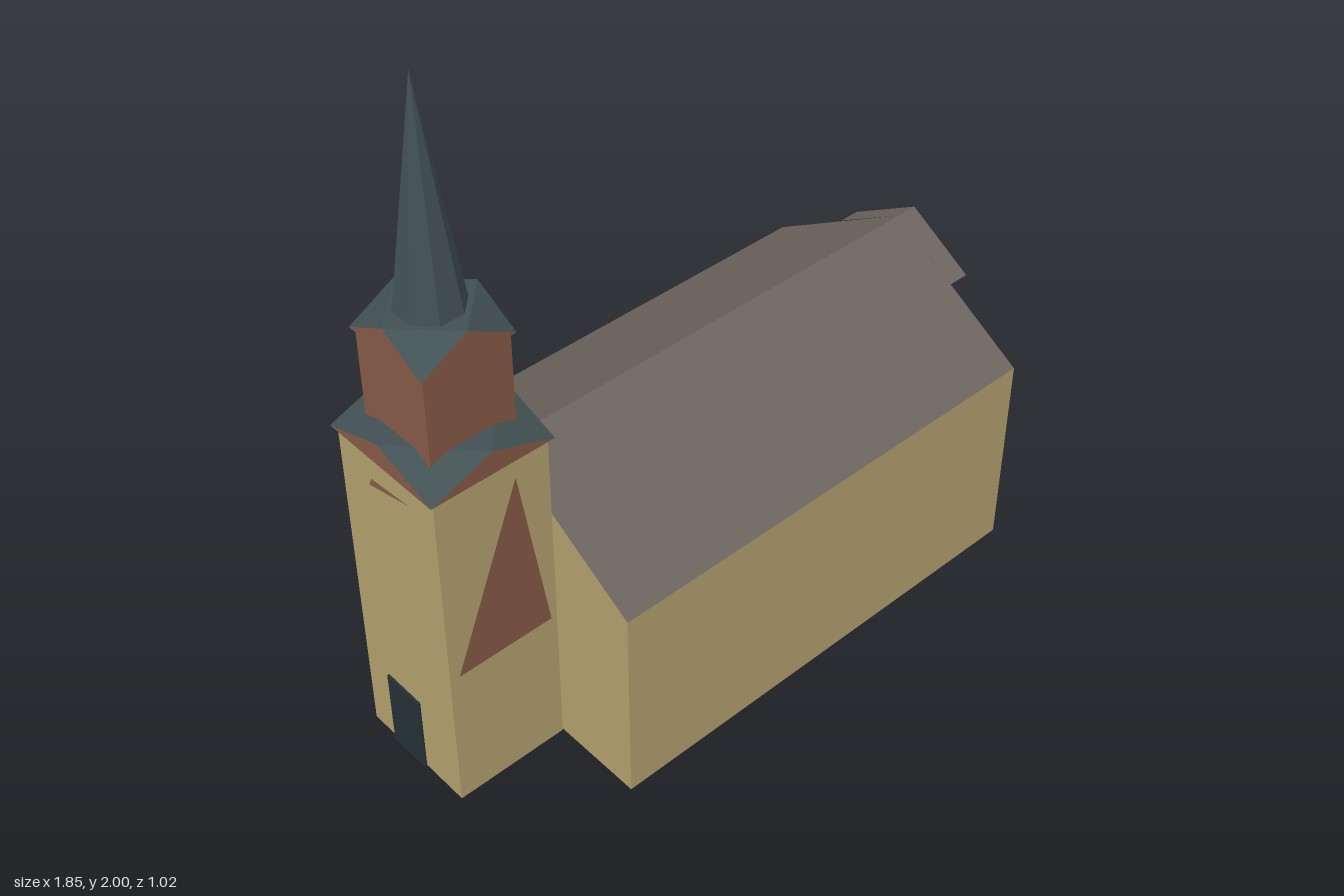
import * as THREE from 'three';

const mat = (name, color) => Object.assign(new THREE.MeshStandardMaterial({ color }), { name });

// Flat-shaded mesh from polygons (fans), corners counter-clockwise seen from outside
function faces(name, material, polygons) {
  const pos = [];
  for (const p of polygons)
    for (let i = 1; i < p.length - 1; i++) pos.push(...p[0], ...p[i], ...p[i + 1]);
  const g = new THREE.BufferGeometry();
  g.setAttribute('position', new THREE.Float32BufferAttribute(pos, 3));
  g.computeVertexNormals();
  const m = new THREE.Mesh(g, material);
  m.name = name;
  return m;
}

function box(name, material, w, h, d, x, y, z) {
  const m = new THREE.Mesh(new THREE.BoxGeometry(w, h, d), material);
  m.position.set(x, y, z);
  m.name = name;
  return m;
}

// Broached roof: a brick gable on each side, slate triangles leaning in at the corners
function broachRoof(name, a, b, y0, y1, roofMat, gableMat) {
  const c = [[-a, y0, b], [a, y0, b], [a, y0, -b], [-a, y0, -b]];
  const peaks = [[0, y1, b], [a, y1, 0], [0, y1, -b], [-a, y1, 0]];
  const slopes = [peaks], gables = [[...c].reverse()];
  c.forEach((p, i) => {
    const next = (i + 1) % 4;
    gables.push([p, c[next], peaks[i]]);
    slopes.push([peaks[i], c[next], peaks[next]]);
  });
  const g = new THREE.Group();
  g.name = name;
  g.add(faces(name + 'Slopes', roofMat, slopes), faces(name + 'Gables', gableMat, gables));
  return g;
}

export function createModel() {
  const wall = mat('sandstone', 0xb3a06e);
  const roof = mat('brownRoof', 0x6e6660);
  const brick = mat('redBrick', 0x855a46);
  const slate = mat('slateSpire', 0x425154);
  const dark = mat('darkDoor', 0x263236);
  const base = mat('greyFloor', 0xa3a297);

  const model = new THREE.Group();
  model.name = 'church';
  model.rotation.y = -0.09;

  // Nave corners: west / east, front / back, with one shared ridge
  const w = -0.563, e = 0.843, f = 0.436, k = -0.462, r = -0.016, eave = 0.61, top = 0.885;
  const WF = [w, 0, f], WB = [w, 0, k], EF = [e, 0, f], EB = [e, 0, k];
  const WFt = [w, eave, f], WBt = [w, eave, k], EFt = [e, eave, f], EBt = [e, eave, k];
  const WR = [w, top, r], ER = [e, top, r];

  // Shallow, twisted east bay: foot B and wall tops T, S on the gable, the rest proud of it
  const o = 0.907, zf = 0.19, zb = -0.228;
  const B = [e, 0.03, zf], T = [e, eave, zf], P = [o, eave, zf], E = [o, 0.76, zf], Tr = [e, 0.76, zf];
  const C = [o, 0.03, zb], S = [e, eave, zb], Q = [o, 0.757, zb], Sr = [e, 0.757, zb], R = [o, top, r];

  model.add(
    faces('naveWalls', wall, [
      [WF, EF, EFt, WFt],
      [EB, WB, WBt, EBt],
      [ER, EFt, EF, B, EB, EBt],
      [WB, WF, WFt, WR, WBt],
    ]),
    faces('eastBayWalls', wall, [[B, P, T], [B, C, P], [P, C, Q, R, E], [C, EB, S]]),
    faces('naveRoof', roof, [[WFt, EFt, ER, WR], [EBt, WBt, WR, ER], [Tr, E, R, ER], [Sr, ER, R, Q]]),
    faces('floor', base, [[WF, WB, EB, C, B, EF]]),
  );

  // Tower
  const tower = new THREE.Group();
  tower.name = 'tower';
  tower.position.set(-0.7325, 0, -0.0165);
  model.add(tower);
  const a = 0.167, b = 0.184;
  tower.add(
    box('towerShaft', wall, a * 2, 1.02, b * 2, 0, 0.51, 0),
    broachRoof('lowerRoof', 0.18, 0.195, 1.02, 1.087, slate, brick),
    box('belfry', brick, 0.247, 0.29, 0.25, 0, 1.18, 0),
    broachRoof('upperRoof', 0.133, 0.135, 1.323, 1.397, slate, brick),
    faces('towerFloor', base, [[[-a, -0.001, b], [-a, -0.001, -b], [a, -0.001, -b], [a, -0.001, b]]]),
  );

  // Eight-sided spire
  const spireGeo = new THREE.ConeGeometry(0.096, 0.66, 8, 1, true).toNonIndexed();
  spireGeo.computeVertexNormals();
  const spire = new THREE.Mesh(spireGeo, slate);
  spire.name = 'spire';
  spire.position.y = 1.67;
  spire.rotation.y = Math.PI / 8;
  tower.add(spire);

  // Brick panels: broad on the front and back, slivers on the east and west
  const broad = [[-0.14, 0.435], [0.148, 0.435], [0.066, 0.96]];
  const eastSliver = [[0.09, 0.93], [0.108, 0.72], [0.1, 0.93]];
  const westSliver = [[-0.07, 0.91], [0.09, 0.95], [-0.06, 0.935]];
  [broad, eastSliver, broad, westSliver].forEach((corners, i) => {
    const depth = (i % 2 ? a : b) + 0.002;
    const panel = faces('brickPanel', brick, [corners.map(([x, y]) => [x, y, depth])]);
    panel.rotation.y = (i * Math.PI) / 2;
    tower.add(panel);
  });

  // West door, a thin leaf standing just proud of the wall
  tower.add(box('westDoor', dark, 0.006, 0.24, 0.13, -a - 0.023, 0.16, 0.005));

  const root = new THREE.Group();
  root.name = 'model';
  root.add(model);
  return root;
}
